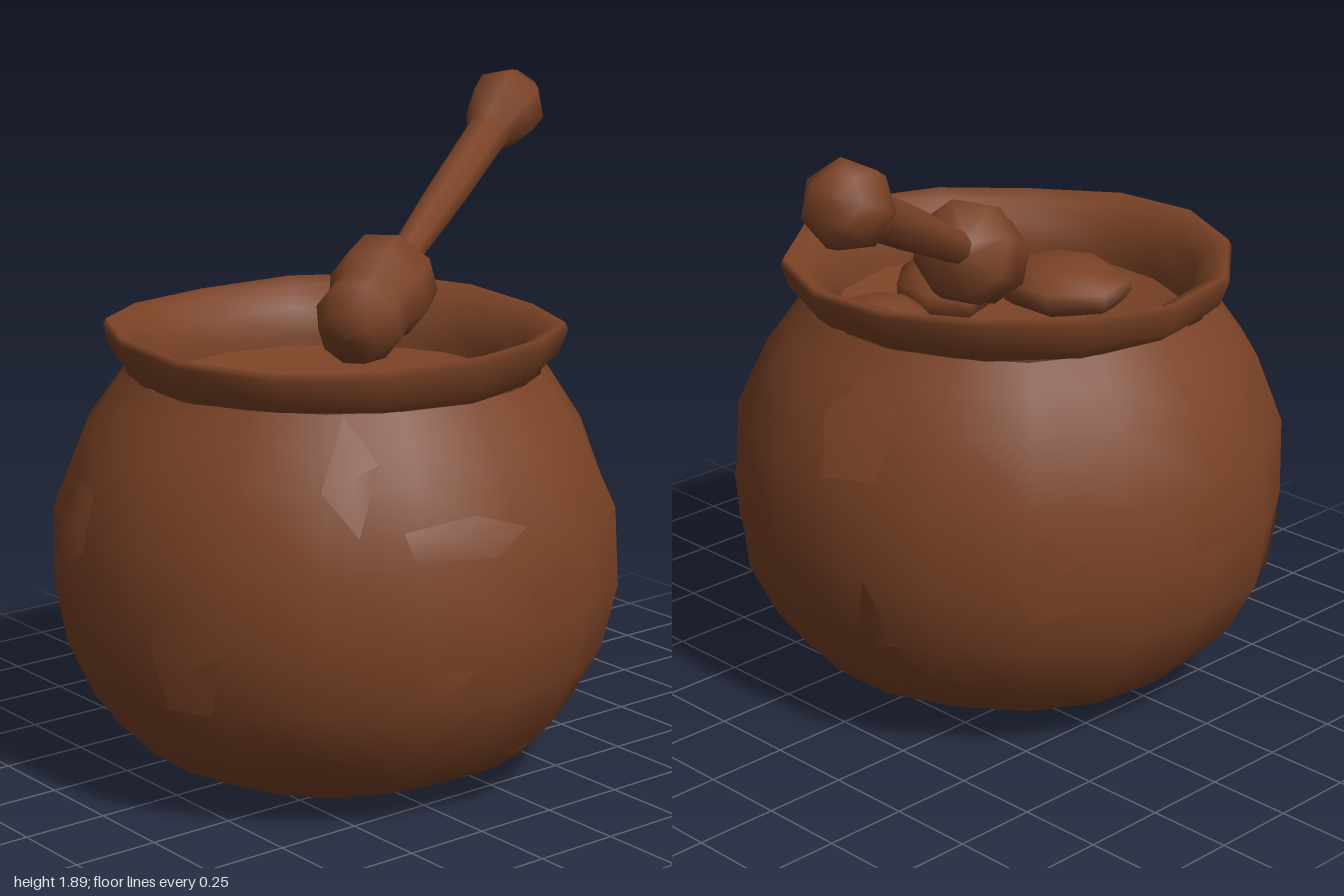
import * as THREE from 'three';

const CX = -0.175; // pot axis

// outer pot profile: [radius, height]
const OUTER = [
  [0.0, 0.005], [0.25, 0.008], [0.45, 0.03], [0.61, 0.11], [0.71, 0.22], [0.79, 0.38],
  [0.823, 0.57], [0.812, 0.8], [0.73, 1.0], [0.66, 1.1], [0.605, 1.18],
];
// flared lip and inner wall
const LIP = [
  [0.605, 1.18], [0.64, 1.22], [0.665, 1.29], [0.655, 1.31], [0.6, 1.29],
  [0.555, 1.23], [0.53, 1.15], [0.53, 1.05],
];

// slight hand-made unevenness, periodic around the pot
const wobble = (a, y) =>
  0.008 * Math.sin(5 * a + 7 * y) + 0.007 * Math.sin(8 * a - 5 * y) - 0.004;

function outerRadius(y) {
  for (let i = 2; i < OUTER.length; i++) {
    const [r0, y0] = OUTER[i - 1], [r1, y1] = OUTER[i];
    if (y <= y1) return r0 + (r1 - r0) * Math.max(0, (y - y0) / (y1 - y0));
  }
  return OUTER[OUTER.length - 1][0];
}

function place(a, y, r) {
  const k = r * (1 + wobble(a, y));
  return [CX + k * Math.sin(a), y, k * Math.cos(a)];
}

// turned surface with the unevenness applied
function turned(profile, sides, lipWave = 0) {
  const g = new THREE.LatheGeometry(profile.map(([r, y]) => new THREE.Vector2(r, y)), sides);
  const p = g.attributes.position;
  for (let i = 0; i < p.count; i++) {
    const x = p.getX(i), z = p.getZ(i), y = p.getY(i);
    const a = Math.atan2(x, z), r = Math.hypot(x, z);
    const q = place(a, y, r);
    p.setXYZ(i, q[0], y + lipWave * Math.sin(3 * a + 1) * (y > 1.2 ? 1 : 0), q[2]);
  }
  return g;
}

// small raised clay chip lying on the pot wall
function chip(a, y, w, h, sides, turn) {
  const g = new THREE.CircleGeometry(1, sides);
  const p = g.attributes.position;
  for (let i = 0; i < p.count; i++) {
    const u = p.getX(i), v = p.getY(i), c = Math.cos(turn), s = Math.sin(turn);
    const yy = y + h * (u * s + v * c);
    const aa = a + (w * (u * c - v * s)) / outerRadius(y);
    const lift = i === 0 ? 0.014 : 0.006;
    p.setXYZ(i, ...place(aa, yy, outerRadius(yy) + lift));
  }
  g.computeVertexNormals();
  return g;
}

export function createModel() {
  const model = new THREE.Group();
  const clay = new THREE.MeshStandardMaterial({ name: 'brown clay', color: 0x7a4226, side: THREE.DoubleSide });

  const add = (name, geometry, parent = model) => {
    const mesh = new THREE.Mesh(geometry, clay);
    mesh.name = name;
    parent.add(mesh);
    return mesh;
  };

  // pot
  add('potBody', turned(OUTER, 18));
  add('potLip', turned(LIP, 14, 0.012));

  // contents: a dished surface with a few lumps
  add('contents', turned([[0.55, 1.13], [0.42, 1.08], [0.22, 1.05], [0, 1.04]].reverse(), 14));
  const lumps = [
    [-0.5, 1.1, 0.08, 0.2, 0.09, 0.22], [-0.22, 1.1, 0.32, 0.2, 0.1, 0.16],
    [0.14, 1.1, 0.22, 0.16, 0.08, 0.17],
  ];
  lumps.forEach(([x, y, z, sx, sy, sz], i) => {
    const lump = add('contentsLump', new THREE.SphereGeometry(1, 7, 5));
    lump.position.set(x, y, z);
    lump.scale.set(sx, sy, sz);
    lump.rotation.y = i * 0.9;
  });

  // surface chips: angle, height, width, height, sides, turn
  const chips = [
    [1.05, 0.65, 0.12, 0.11, 4, 0.1], [0.22, 0.68, 0.17, 0.09, 5, 0.3],
    [-0.2, 0.86, 0.2, 0.06, 5, 0.1], [-0.6, 1.03, 0.08, 0.15, 4, 0.2],
    [-0.3, 0.42, 0.13, 0.11, 5, 0.8], [0.15, 0.14, 0.1, 0.06, 4, 0.7],
    [1.75, 0.97, 0.13, 0.15, 5, 0.4], [1.85, 0.35, 0.08, 0.22, 4, 0.1],
    [2.5, 0.6, 0.12, 0.14, 5, 0.5], [3.2, 0.7, 0.18, 0.1, 5, 0.2],
    [3.9, 0.4, 0.14, 0.12, 4, 0.4], [4.5, 0.8, 0.1, 0.14, 5, 0.9], [5.1, 0.5, 0.12, 0.16, 5, 0.3],
  ];
  chips.forEach((c) => add('clayChip', chip(...c)));

  // dipper, turned along its own axis and leaned out over the rim
  const dipper = new THREE.Group();
  dipper.name = 'dipper';
  const base = new THREE.Vector3(0.13, 1.405, -0.1);
  const tip = new THREE.Vector3(0.975, 1.825, -0.52);
  const axis = tip.clone().sub(base);
  const len = axis.length();
  dipper.position.copy(base);
  dipper.quaternion.setFromUnitVectors(new THREE.Vector3(0, 1, 0), axis.normalize());
  model.add(dipper);

  const lathe = (pts, n) => new THREE.LatheGeometry(pts.map(([r, y]) => new THREE.Vector2(r, y)), n);
  add('dipperHandle', lathe([[0.05, -0.06], [0.05, 0.1], [0.062, 0.4], [0.068, len - 0.27]], 8), dipper);
  add('dipperKnob', lathe([
    [0.066, len - 0.28], [0.115, len - 0.16], [0.12, len - 0.08], [0.075, len - 0.01], [0, len],
  ], 7), dipper);
  add('dipperHead', lathe([
    [0, -0.37], [0.09, -0.36], [0.135, -0.27], [0.125, -0.2], [0.155, -0.12], [0.145, -0.02], [0.05, 0.03],
  ], 8), dipper);

  return model;
}
